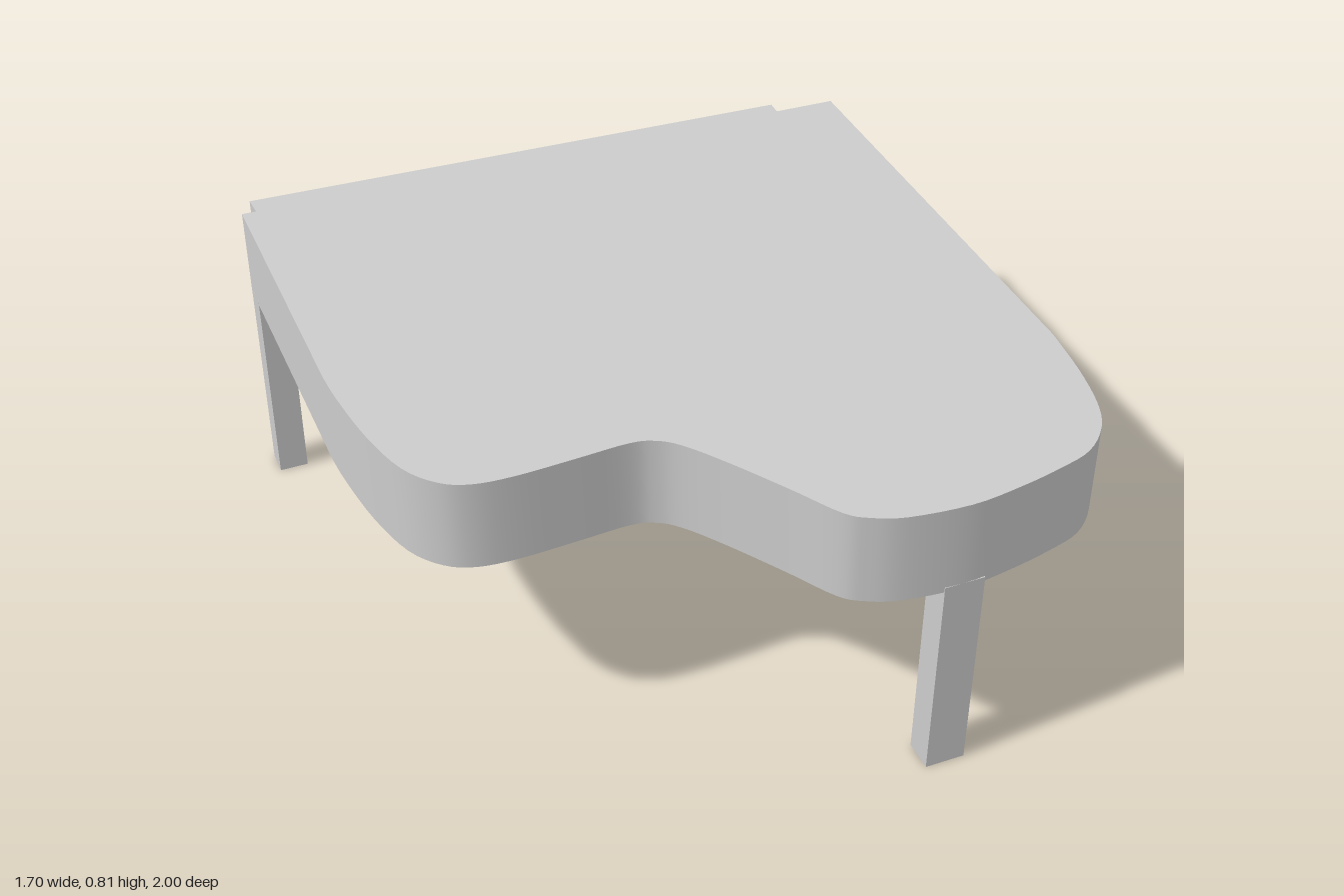
import * as THREE from 'three';
import { toCreasedNormals } from 'three/addons/utils/BufferGeometryUtils.js';

const material = new THREE.MeshStandardMaterial({ color: 0xcccccc });

// Horizontal slab from an outline of (x, z) points between two heights
function slab(name, points, bottom, top) {
  const geometry = new THREE.ExtrudeGeometry(new THREE.Shape(points), {
    depth: top - bottom, bevelEnabled: false, steps: 1,
  });
  geometry.rotateX(Math.PI / 2).translate(0, top, 0);
  const mesh = new THREE.Mesh(toCreasedNormals(geometry, 0.6), material);
  mesh.name = name;
  return mesh;
}

// Square leg whose foot may lean sideways by `lean`
function leg(name, x0, x1, z0, z1, lean = 0) {
  const height = 0.58;
  const geometry = new THREE.BoxGeometry(x1 - x0, height, z1 - z0);
  geometry.translate((x0 + x1) / 2, height / 2, (z0 + z1) / 2);
  const p = geometry.attributes.position;
  for (let i = 0; i < p.count; i++) {
    if (p.getY(i) < 0.1) p.setX(i, p.getX(i) + lean);
  }
  geometry.computeVertexNormals();
  const mesh = new THREE.Mesh(geometry, material);
  mesh.name = name;
  return mesh;
}

const vectors = (list) => list.map(([x, z]) => new THREE.Vector2(x, z));

export function createModel() {
  const model = new THREE.Group();
  model.name = 'grandPiano';

  // Curved front and sides of the case, from the left side round to the right
  const bend = new THREE.SplineCurve(vectors([
    [0.845, 0.5], [0.828, 0.65], [0.8, 0.78], [0.76, 0.865], [0.69, 0.93], [0.6, 0.96],
    [0.48, 0.985], [0.35, 1.0], [0.2, 0.985], [0.12, 0.955], [0.07, 0.915],
    [0, 0.8], [-0.09, 0.66], [-0.16, 0.565], [-0.21, 0.525], [-0.27, 0.51],
    [-0.4, 0.517], [-0.55, 0.524], [-0.65, 0.515], [-0.72, 0.48], [-0.78, 0.4],
    [-0.82, 0.26], [-0.843, 0.1], [-0.85, 0],
  ]));
  const outline = [
    ...vectors([[-0.853, -0.783], [0.845, -0.74]]),
    ...bend.getPoints(92),
  ];
  model.add(slab('case', outline, 0.566, 0.811));

  // Keyboard shelf behind the case
  model.add(slab('keyboardShelf', vectors([
    [-0.79, -1.0], [0.757, -0.945], [0.75, -0.72], [-0.775, -0.76],
  ]), 0.668, 0.711));

  // Three legs
  model.add(leg('frontLeg', 0.302, 0.405, 0.92, 1.0));
  model.add(leg('backRightLeg', -0.853, -0.775, -0.782, -0.71));
  model.add(leg('backLeftLeg', 0.757, 0.842, -0.738, -0.655, 0.008));

  return model;
}
